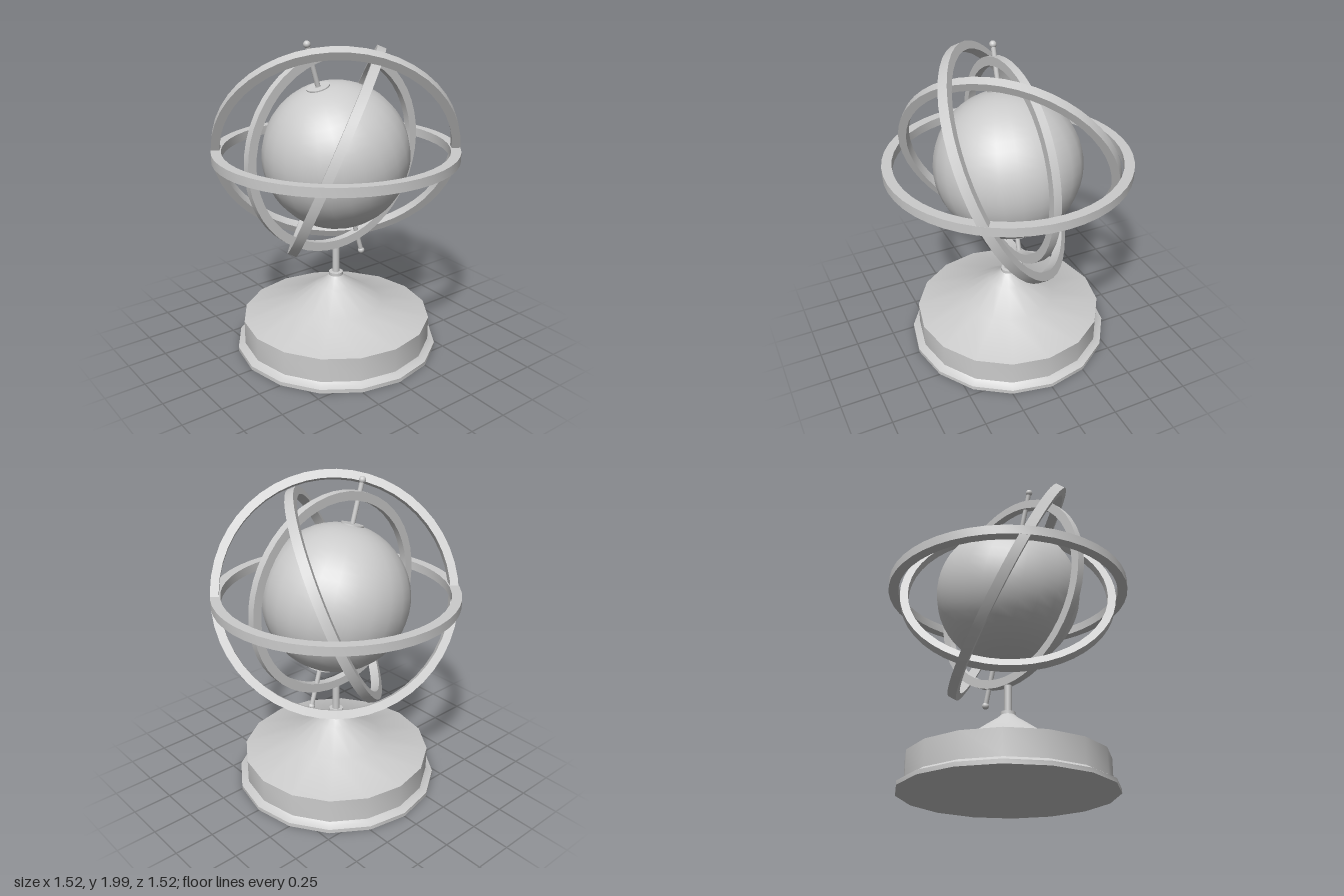
import * as THREE from 'three';
import { toCreasedNormals } from 'three/addons/utils/BufferGeometryUtils.js';

const material = new THREE.MeshStandardMaterial({ color: 0xcccccc });
const RING_Y = 1.3;
const GLOBE_Y = 1.28;
const UP = new THREE.Vector3(0, 1, 0);

function part(name, geometry, parent) {
  const mesh = new THREE.Mesh(geometry, material);
  mesh.name = name;
  parent.add(mesh);
  return mesh;
}

// Turned shape with sharp edges, from [radius, height] pairs listed bottom to top
function turned(profile, sides) {
  const points = profile.map(([r, y]) => new THREE.Vector2(r, y));
  return toCreasedNormals(new THREE.LatheGeometry(points, sides), 0.45);
}

// Flat hoop of rectangular section whose axis points along normal
function hoop(name, outer, inner, width, normal, parent) {
  const h = width / 2;
  const profile = [[inner, -h], [outer, -h], [outer, h], [inner, h], [inner, -h]];
  const mesh = part(name, turned(profile, 48), parent);
  mesh.position.y = RING_Y;
  mesh.quaternion.setFromUnitVectors(UP, new THREE.Vector3(...normal).normalize());
}

export function createModel() {
  const model = new THREE.Group();
  model.name = 'armillaryGlobe';

  // Stepped base rising to a collar
  part('base', turned([
    [0, 0], [0.65, 0], [0.65, 0.025], [0.625, 0.035], [0.605, 0.05], [0.605, 0.205],
    [0.3, 0.29], [0.125, 0.415], [0.065, 0.455], [0.045, 0.475], [0.045, 0.495], [0, 0.5],
  ], 16), model);

  // Stem carrying the vertical hoop
  part('stem', new THREE.CylinderGeometry(0.023, 0.023, 0.22, 16), model).position.y = 0.59;

  // Hoops
  hoop('horizonRing', 0.758, 0.697, 0.057, [0, 1, 0], model);
  hoop('meridianRing', 0.635, 0.58, 0.048, [1, 0, 0], model);
  hoop('outerTiltedRing', 0.757, 0.705, 0.058, [-0.74, 0.445, -0.505], model);
  hoop('innerTiltedRing', 0.688, 0.637, 0.055, [-0.61, 0.39, 0.69], model);

  // Globe on its leaning axle
  const globe = new THREE.Group();
  globe.name = 'globeAssembly';
  globe.position.y = GLOBE_Y;
  globe.rotation.x = 0.29;
  model.add(globe);
  part('globe', new THREE.SphereGeometry(0.456, 24, 24), globe);
  part('axle', new THREE.CylinderGeometry(0.015, 0.015, 1.44, 12), globe);
  for (const [side, label, collarRadius] of [[1, 'upper', 0.07], [-1, 'lower', 0.085]]) {
    part(label + 'Collar', new THREE.CylinderGeometry(collarRadius, collarRadius, 0.03, 24), globe)
      .position.y = side * 0.443;
    part(label + 'Knob', new THREE.SphereGeometry(0.022, 12, 10), globe).position.y = side * 0.72;
  }

  return model;
}
